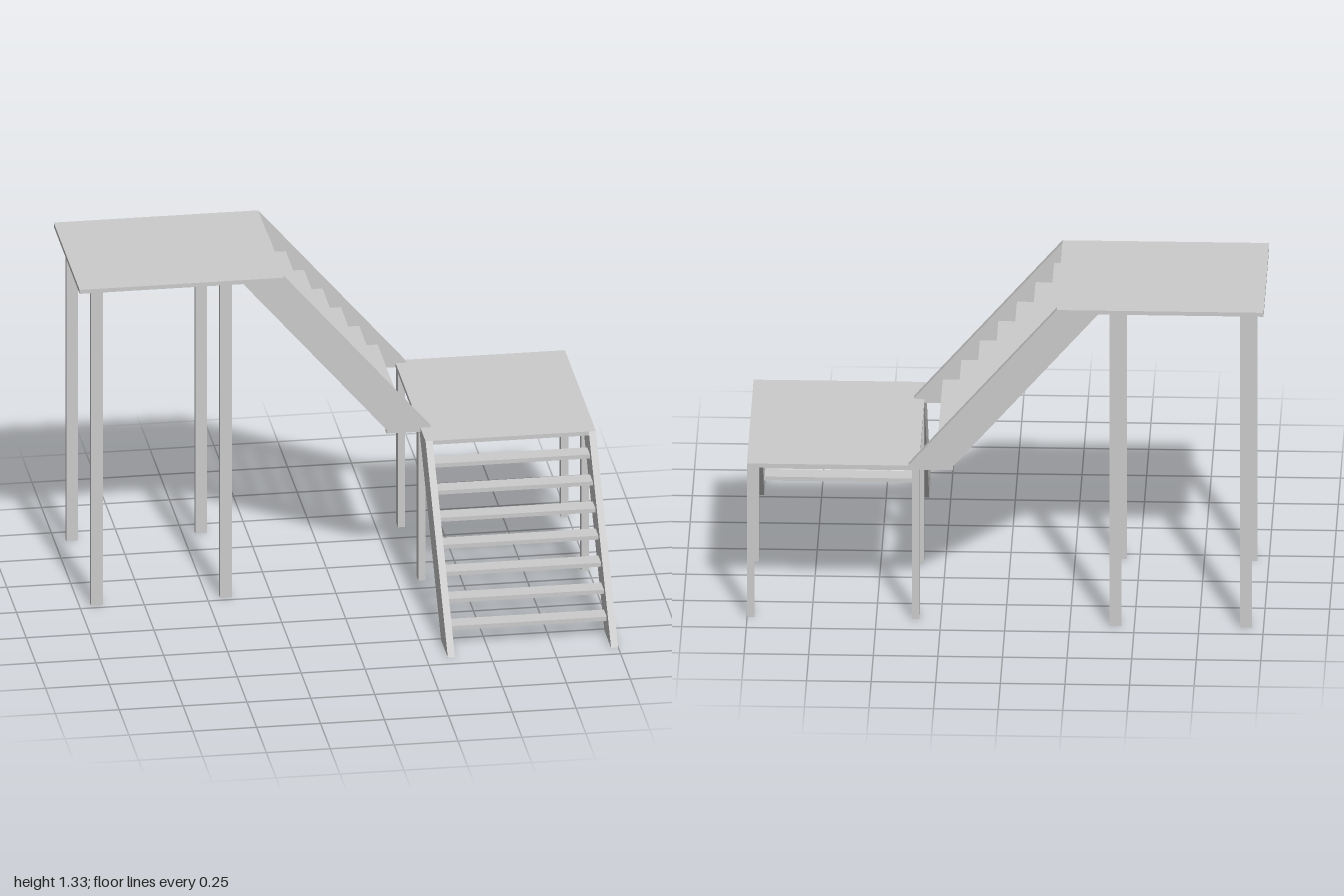
import * as THREE from 'three';

const material = new THREE.MeshStandardMaterial({ color: 0xcccccc, flatShading: true });
const RISE = 2 / 3, RUN = 0.575, THICK = 1 / 60, BOARD = 0.028, WIDTH = 2 / 3, STEPS = 8;
const STRINGER = 0.174, LEG = 0.046;

// Box given by its lowest and highest corners
function box(name, [x0, y0, z0], [x1, y1, z1]) {
  const mesh = new THREE.Mesh(new THREE.BoxGeometry(x1 - x0, y1 - y0, z1 - z0), material);
  mesh.position.set((x0 + x1) / 2, (y0 + y1) / 2, (z0 + z1) / 2);
  mesh.name = name;
  return mesh;
}

// Open stair descending along +x from a landing edge at x = 0, centred on z = 0
function flight(name, withFoot) {
  const group = new THREE.Group();
  group.name = name;

  // Sloped side board, cut flat under the landing
  const under = RISE - THICK;
  const points = [
    [0, RISE], [0, under], [RUN - STRINGER - RUN * under / RISE, under], [RUN - STRINGER, 0],
  ];
  // Foot that butts against the landing below
  if (withFoot) points.push([RUN - STRINGER, -THICK], [0.533, -THICK], [0.533, 0]);
  points.push([RUN, 0]);
  const shape = new THREE.Shape(points.map(([x, y]) => new THREE.Vector2(x, y)));
  const geometry = new THREE.ExtrudeGeometry(shape, { depth: BOARD, bevelEnabled: false });
  for (const z of [-WIDTH / 2, WIDTH / 2 - BOARD]) {
    const stringer = new THREE.Mesh(geometry, material);
    stringer.name = 'stringer';
    stringer.position.z = z;
    group.add(stringer);
  }

  // Treads between the side boards
  const going = RUN / STEPS, half = WIDTH / 2 - BOARD;
  for (let k = 1; k < STEPS; k++) {
    const front = 0.463 - going * (k - 1), top = RISE * k / STEPS;
    group.add(box('tread', [front - going, top - THICK, -half], [front, top, half]));
  }
  return group;
}

// Four legs at each combination of the given x and z ranges
function legs(name, xs, zs, height) {
  const group = new THREE.Group();
  group.name = name;
  for (const [x0, x1] of xs)
    for (const [z0, z1] of zs) group.add(box('leg', [x0, 0, z0], [x1, height, z1]));
  return group;
}

export function createModel() {
  const model = new THREE.Group();
  model.name = 'staircase';
  const back = -0.6875, front = back + WIDTH, left = 1 - WIDTH;
  const lowFront = 0.1125, highEdge = -0.2;

  // Landings
  model.add(box('upperPlatform', [-1, 2 * RISE - THICK, back], [highEdge, 2 * RISE, front]));
  model.add(box('lowerPlatform', [left, RISE - THICK, back], [1, RISE, lowFront]));

  // Legs, flush with the landing sides
  model.add(legs('upperLegs', [[-0.955, -0.955 + LEG], [-0.45, -0.45 + LEG]],
    [[back, back + BOARD], [front - BOARD, front]], 2 * RISE - THICK));
  model.add(legs('lowerLegs', [[left, left + BOARD], [1 - BOARD, 1]],
    [[-0.648, -0.648 + LEG], [-0.118, -0.118 + LEG]], RISE - THICK));

  // Upper flight runs along x, lower flight turns towards the front
  const upper = flight('upperFlight', true);
  upper.position.set(highEdge, RISE, (back + front) / 2);
  const lower = flight('lowerFlight', false);
  lower.rotation.y = -Math.PI / 2;
  lower.position.set((left + 1) / 2, 0, lowFront);
  model.add(upper, lower);
  return model;
}
